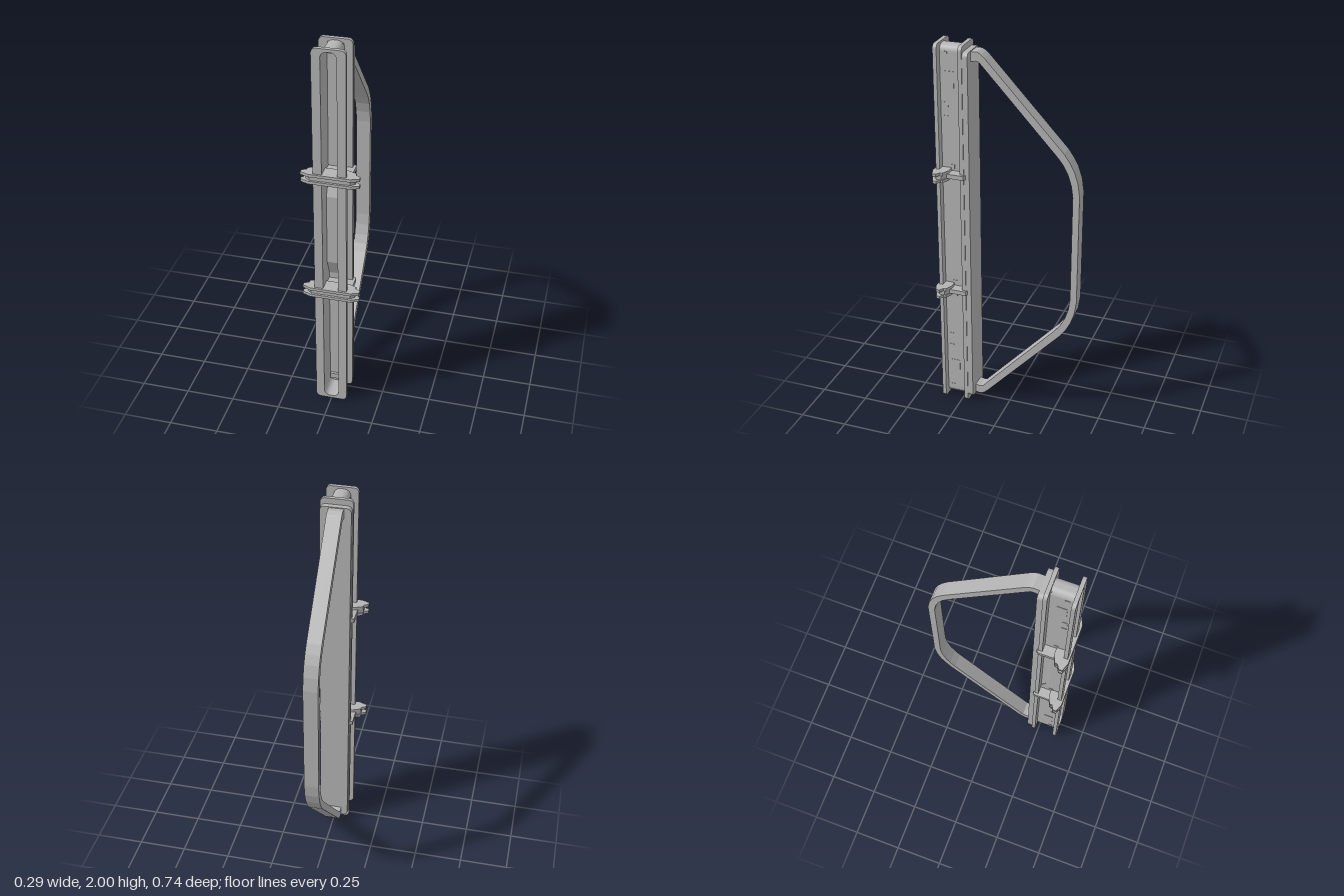
import * as THREE from 'three';

const steel = new THREE.MeshStandardMaterial({ color: 0xb4b4b4 });
steel.name = 'grey steel';

// Rounded upright rectangle; extra points at heights ys along the long sides.
function roundedPath(PathType, w, y0, y1, r, ys = []) {
  const p = new PathType(), h = w / 2;
  p.moveTo(h, y0 + r);
  ys.forEach(y => p.lineTo(h, y));
  p.lineTo(h, y1 - r);
  p.absarc(h - r, y1 - r, r, 0, Math.PI / 2);
  p.absarc(-h + r, y1 - r, r, Math.PI / 2, Math.PI);
  [...ys].reverse().forEach(y => p.lineTo(-h, y));
  p.absarc(-h + r, y0 + r, r, Math.PI, Math.PI * 1.5);
  p.absarc(h - r, y0 + r, r, Math.PI * 1.5, Math.PI * 2);
  return p;
}

// Extrusion centred on its own depth
function extrude(shape, depth) {
  const g = new THREE.ExtrudeGeometry(shape, { depth, bevelEnabled: false, curveSegments: 6 });
  return g.translate(0, 0, -depth / 2);
}

const shapeOf = pts => new THREE.Shape(pts.map(p => new THREE.Vector2(p[0], p[1])));

// Outline given as (z, y), extruded across x
const acrossX = (pts, width) => extrude(shapeOf(pts), width).rotateY(-Math.PI / 2);

// Half outline given as (x, z), mirrored in x and extruded up y
function plateY(half, thickness) {
  const mirrored = half.map(([x, z]) => [-x, z]).reverse();
  return extrude(shapeOf([...half, ...mirrored]), thickness).rotateX(Math.PI / 2);
}

// Continue a list of (z, y) points with its reflection about mid height
const mirrorY = pts => [...pts, ...pts.map(([z, y]) => [z, 2 - y]).reverse()];

export function createModel() {
  const model = new THREE.Group();
  model.name = 'pullHandle';
  const add = (name, geometry, x = 0, y = 0, z = 0) => {
    const m = new THREE.Mesh(geometry, steel);
    m.name = name;
    m.position.set(x, y, z);
    model.add(m);
    return m;
  };

  // Front flange with a long slot
  const front = roundedPath(THREE.Shape, 0.162, 0, 2, 0.024);
  front.holes.push(roundedPath(THREE.Path, 0.076, 0.015, 1.985, 0.03));
  add('frontFlange', extrude(front, 0.02), 0, 0, 0.351);

  // Back flange and the pad behind it
  add('backFlange', extrude(roundedPath(THREE.Shape, 0.162, 0, 2, 0.024), 0.02), 0, 0, 0.224);
  add('backPad', extrude(roundedPath(THREE.Shape, 0.154, 0.03, 1.97, 0.024), 0.028), 0, 0, 0.2);

  // Channel walls, with the rear edge notched at mid height
  const breaks = [0.72, 0.81, 1.19, 1.28];
  const notch = y => 0.04 * THREE.MathUtils.clamp((0.28 - Math.abs(y - 1)) / 0.09, 0, 1);
  const ring = roundedPath(THREE.Shape, 0.084, 0.01, 1.99, 0.034, breaks);
  ring.holes.push(roundedPath(THREE.Path, 0.076, 0.015, 1.985, 0.03, breaks));
  const walls = extrude(ring, 0.107).translate(0, 0, 0.2875);
  const pos = walls.attributes.position;
  for (let i = 0; i < pos.count; i++) {
    if (pos.getZ(i) < 0.25) pos.setZ(i, pos.getZ(i) + notch(pos.getY(i)));
  }
  walls.computeVertexNormals();
  add('channelWalls', walls);

  // Channel floor following the notch
  const rear = mirrorY([[0.234, 0.02], [0.234, 0.72], [0.274, 0.81]]);
  const face = rear.map(([z, y]) => [z + 0.005, y]).reverse();
  add('channelFloor', acrossX([...rear, ...face], 0.078));

  // Bent grab bar
  const outer = mirrorY([
    [0.2, 1.96], [0.185, 1.966], [0.155, 1.968], [0.135, 1.957], [0.118, 1.942], [-0.285, 1.51],
    [-0.315, 1.468], [-0.338, 1.425], [-0.358, 1.365], [-0.368, 1.295]]);
  const inner = mirrorY([
    [0.2, 1.92], [0.18, 1.918], [0.162, 1.922], [0.145, 1.918], [-0.258, 1.482],
    [-0.286, 1.445], [-0.308, 1.402], [-0.326, 1.345], [-0.334, 1.285]]).reverse();
  add('grabBar', acrossX([...outer, ...inner], 0.074), -0.005);

  // Bar tenons showing inside the channel
  for (const y of [0.055, 1.945])
    add('barTenon', new THREE.BoxGeometry(0.06, 0.03, 0.06), -0.005, y, 0.222);

  // Clamps: two jaw plates with a rear plate between them
  const jaw = [[0.102, 0.371], [0.143, 0.355], [0.143, 0.337], [0.119, 0.323],
    [0.119, 0.31], [0.079, 0.292]];
  const tongue = [[0.1, 0.36], [0.12, 0.345], [0.12, 0.318], [0.094, 0.3],
    [0.094, 0.212], [0.08, 0.206]];
  for (const y of [0.677, 1.332]) {
    for (const s of [-1, 1]) add('clampJaw', plateY(jaw, 0.015), 0, y + s * 0.019, 0);
    add('clampTongue', plateY(tongue, 0.023), 0, y, 0);
  }

  // Small plates on the channel sides: [height, z, size up, size along z]
  const plates = [[1.945, 0.315, 0.025, 0.025], [1.818, 0.295, 0.085, 0.048],
    [1.69, 0.315, 0.025, 0.025], [1.62, 0.315, 0.025, 0.025],
    [1.365, 0.288, 0.025, 0.025], [1.293, 0.288, 0.025, 0.025]];
  for (const side of [-1, 1])
    for (const [y, z, h, d] of plates)
      for (const yy of [y, 2 - y])
        add('sidePlate', new THREE.BoxGeometry(0.004, h, d), side * 0.042, yy, z);

  return model;
}
